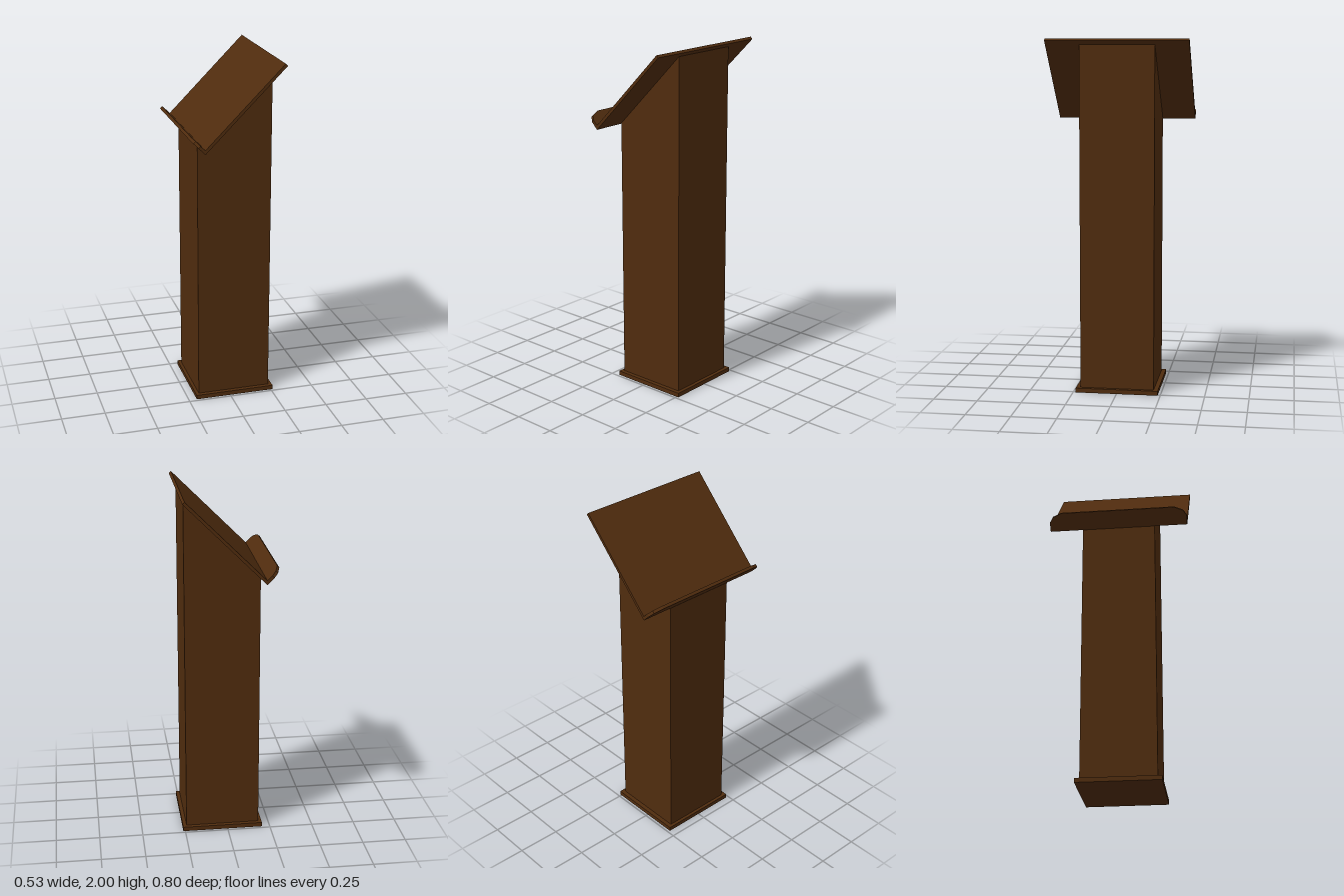
import * as THREE from 'three';

const wood = new THREE.MeshStandardMaterial({ color: 0x502c0e, flatShading: true });
wood.name = 'darkWood';

const HALF_DEPTH = 0.4; // half width of the reading board
const THICK = 0.017;

function part(name, geometry) {
  const mesh = new THREE.Mesh(geometry, wood);
  mesh.name = name;
  return mesh;
}

// Extrudes an outline of [x, y] points
function extrude(points, depth) {
  const shape = new THREE.Shape(points.map(([x, y]) => new THREE.Vector2(x, y)));
  return new THREE.ExtrudeGeometry(shape, { depth, bevelEnabled: false });
}

export function createModel() {
  const model = new THREE.Group();
  model.name = 'lectern';

  // Foot plate
  const base = part('base', new THREE.BoxGeometry(0.465, 0.025, 0.47));
  base.position.set(0.029, 0.0125, 0);
  model.add(base);

  // Post with its top cut at the slope of the board
  const post = part('post', extrude(
    [[-0.185, 0.02], [0.24, 0.02], [0.24, 1.967], [-0.185, 1.542]], 0.42));
  post.position.z = -0.21;
  model.add(post);

  // Board and lip share a frame: x up the lip, y along the depth, z up the slope
  const top = new THREE.Group();
  top.name = 'slopedTop';
  const s = Math.SQRT1_2;
  const frame = new THREE.Matrix4().makeBasis(
    new THREE.Vector3(-s, s, 0), new THREE.Vector3(0, 0, 1), new THREE.Vector3(s, s, 0));
  top.quaternion.setFromRotationMatrix(frame);
  top.position.set(-0.19, 1.537, 0);
  model.add(top);

  // Reading board
  const length = 0.638;
  const board = part('board', new THREE.BoxGeometry(THICK, HALF_DEPTH * 2, length - THICK));
  board.position.set(THICK / 2, 0, (length + THICK) / 2);
  top.add(board);

  // Book stop lip with clipped corners
  const corner = [[0, 0.4], [0.054, 0.4], [0.085, 0.38], [0.106, 0.33]];
  const outline = [
    ...corner.map(([x, y]) => [x, -y]),
    ...corner.slice().reverse(),
  ];
  top.add(part('lip', extrude(outline, THICK)));

  return model;
}
